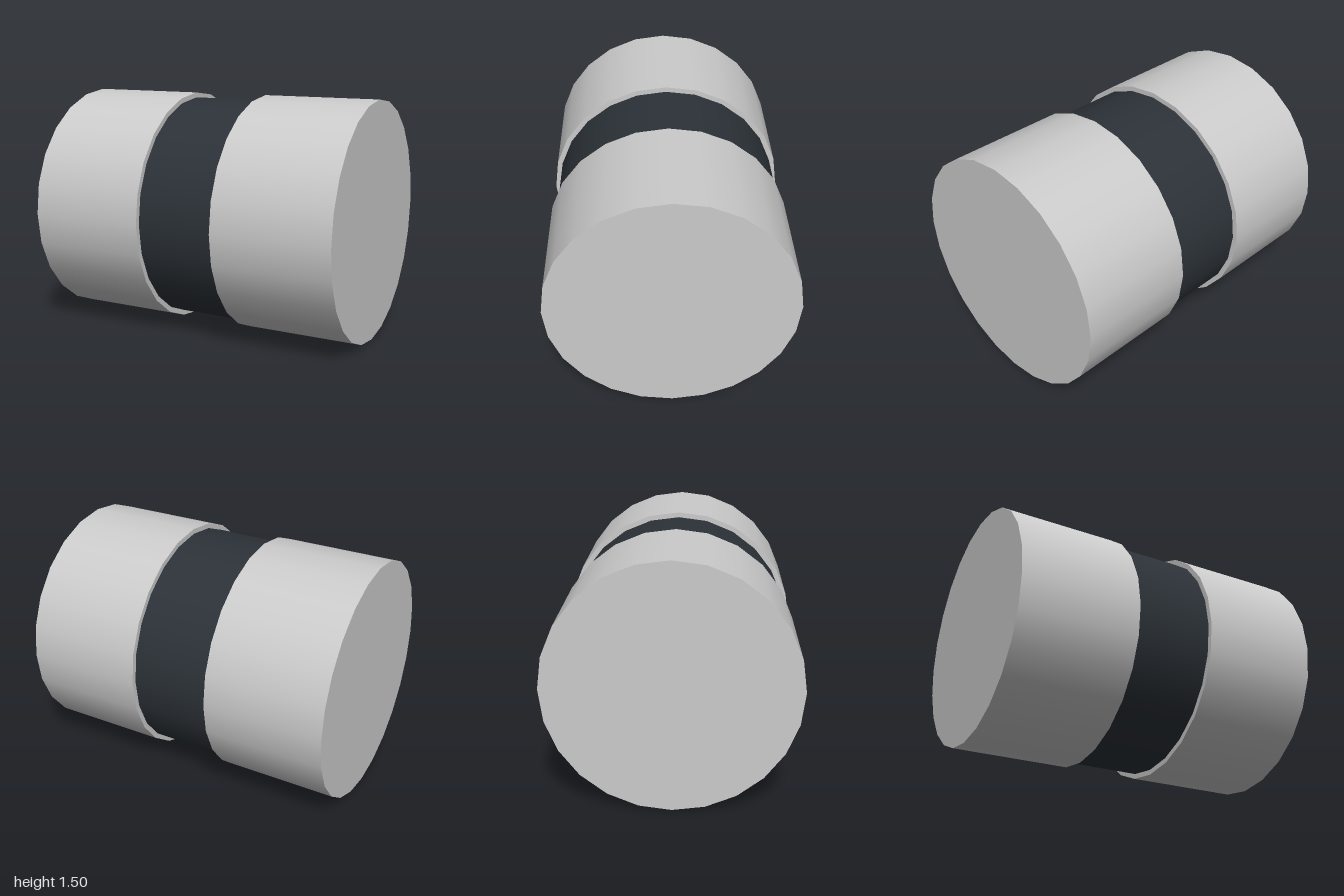
import * as THREE from 'three';

const SIDES = 24;
const RADIUS = 0.75;

// Cylinder lying along x, with a vertex at the top
function drum(name, radius, length, x, material) {
  const geometry = new THREE.CylinderGeometry(radius, radius, length, SIDES);
  geometry.rotateZ(Math.PI / 2);
  const mesh = new THREE.Mesh(geometry, material);
  mesh.name = name;
  mesh.position.set(x, RADIUS, 0);
  return mesh;
}

export function createModel() {
  const grey = new THREE.MeshStandardMaterial({ color: 0xcccccc });
  const dark = new THREE.MeshStandardMaterial({ color: 0x2c3238 });
  const model = new THREE.Group();
  model.name = 'bandedCylinder';

  // Two wide end drums
  model.add(drum('leftDrum', RADIUS, 0.75, 0.625, grey));
  model.add(drum('rightDrum', RADIUS, 0.75, -0.625, grey));

  // Slightly recessed dark band between them
  model.add(drum('centreBand', 0.718, 0.5, 0, dark));
  return model;
}
